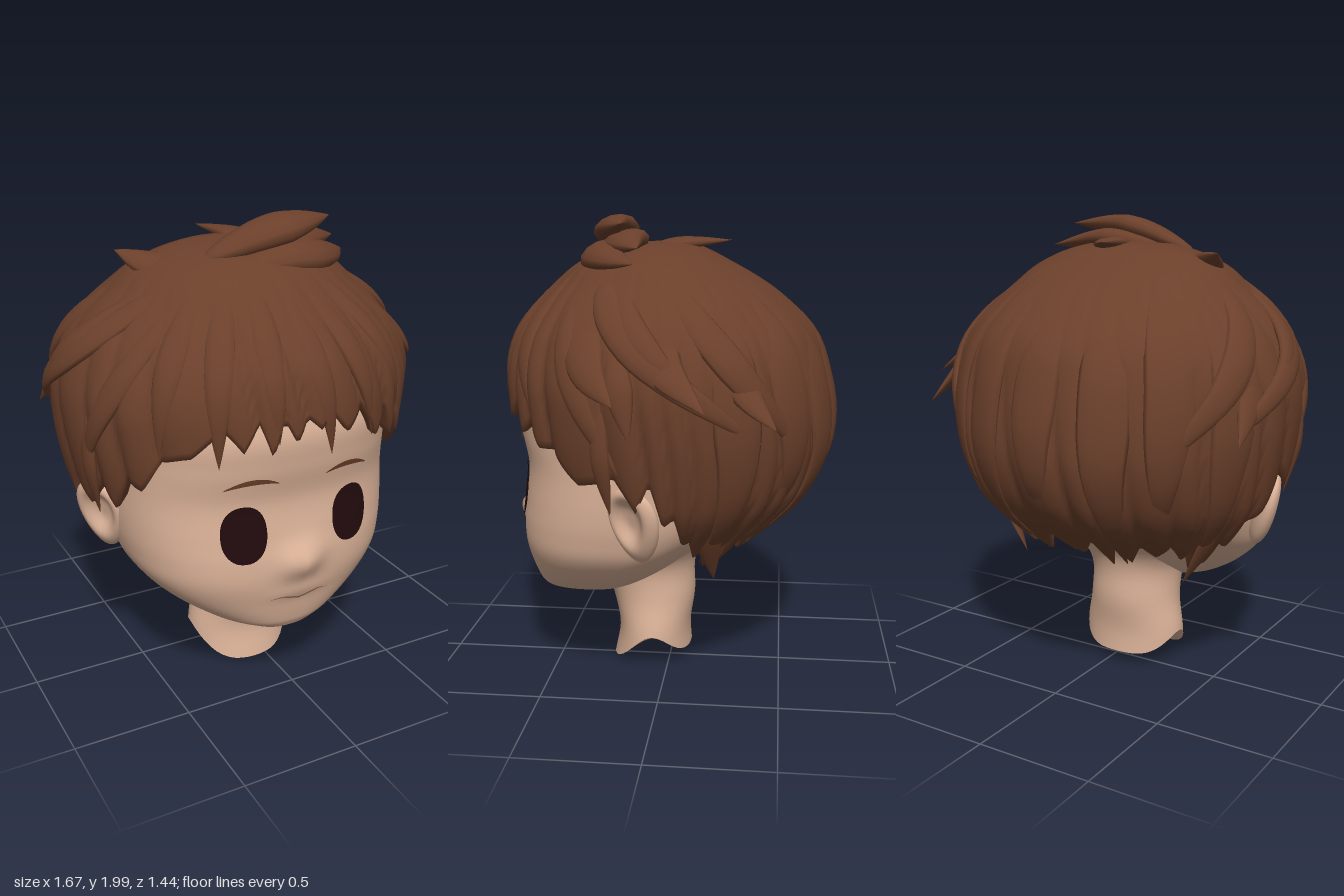
import * as THREE from 'three';

const CX = -0.055; // middle plane of the head
const TAU = Math.PI * 2;

const skin = new THREE.MeshStandardMaterial({ color: 0xdbb298 });
const hairBrown = new THREE.MeshStandardMaterial({ color: 0x6b402b, side: THREE.DoubleSide });
const eyeDark = new THREE.MeshStandardMaterial({ color: 0x220b0d, side: THREE.DoubleSide });
const mouthBrown = new THREE.MeshStandardMaterial({ color: 0x9a6e59, side: THREE.DoubleSide });
skin.name = 'skin'; hairBrown.name = 'hair brown'; eyeDark.name = 'eye dark'; mouthBrown.name = 'mouth brown';

// Smooth interpolation of table rows [key, ...values]
function sample(table, k) {
  const n = table.length;
  k = Math.min(Math.max(k, table[0][0]), table[n - 1][0]);
  let i = 0;
  while (i < n - 2 && k > table[i + 1][0]) i++;
  const a = table[i], b = table[i + 1], p = table[Math.max(i - 1, 0)], q = table[Math.min(i + 2, n - 1)];
  const h = b[0] - a[0], t = (k - a[0]) / h;
  return a.slice(1).map((va, j) => {
    const vb = b[j + 1];
    const ma = (vb - p[j + 1]) / (b[0] - p[0]) * h, mb = (q[j + 1] - va) / (q[0] - a[0]) * h;
    return (2 * t ** 3 - 3 * t * t + 1) * va + (t ** 3 - 2 * t * t + t) * ma
      + (3 * t * t - 2 * t ** 3) * vb + (t ** 3 - t * t) * mb;
  });
}

// Surface over a u,v grid; closed in u when wrap is set
function grid(nu, nv, fn, wrap = true) {
  const pos = [], idx = [], cols = wrap ? nu : nu + 1;
  for (let v = 0; v <= nv; v++) for (let u = 0; u < cols; u++) pos.push(...fn(u / nu, v / nv));
  for (let v = 0; v < nv; v++) for (let u = 0; u < nu; u++) {
    const a = v * cols + u, b = v * cols + (u + 1) % cols, c = b + cols, d = a + cols;
    idx.push(a, b, c, a, c, d);
  }
  const g = new THREE.BufferGeometry();
  g.setAttribute('position', new THREE.Float32BufferAttribute(pos, 3));
  g.setIndex(idx);
  g.computeVertexNormals();
  return g;
}

function add(parent, name, geometry, material) {
  const m = new THREE.Mesh(geometry, material);
  m.name = name;
  parent.add(m);
  return m;
}

// Head sections: y, half width, front z, z of widest point, back z
const HEAD = [
  [0.322, 0, 0.45, 0.42, 0.4], [0.33, 0.1, 0.54, 0.42, 0.3], [0.36, 0.21, 0.578, 0.36, 0.2],
  [0.4, 0.31, 0.595, 0.3, 0.1], [0.5, 0.46, 0.618, 0.22, -0.05], [0.6, 0.55, 0.638, 0.16, -0.18],
  [0.7, 0.585, 0.64, 0.12, -0.34], [0.8, 0.6, 0.628, 0.1, -0.46], [0.95, 0.605, 0.615, 0.08, -0.55],
  [1.1, 0.605, 0.645, 0.05, -0.6], [1.25, 0.6, 0.65, 0.03, -0.6], [1.45, 0.5, 0.54, 0, -0.5], [1.6, 0.3, 0.33, 0, -0.3],
];
const EXP = 2.5;
const bump = (x, y, cy, sx, sy, amp) => amp * Math.exp(-(((x - CX) / sx) ** 2) - ((y - cy) / sy) ** 2);
// Nose and lips
const relief = (x, y) => bump(x, y, 0.685, 0.085, 0.075, 0.053) + bump(x, y, 0.54, 0.12, 0.035, 0.009);

function faceZ(x, y) {
  const [w, zf, zc] = sample(HEAD, y);
  const k = Math.max(0, 1 - Math.abs((x - CX) / w) ** EXP);
  return zc + (zf - zc) * k ** (1 / EXP) + relief(x, y);
}

function headPoint(u, v) {
  const a = u * TAU, y = 0.322 + 1.278 * v ** 1.5;
  const [w, zf, zc, zb] = sample(HEAD, y), s = Math.sin(a), c = Math.cos(a);
  const e = 2 / (c > 0 ? EXP : 2.2);
  const x = CX + Math.max(0, w) * Math.sign(s) * Math.abs(s) ** e;
  const z = zc + Math.sign(c) * Math.abs(c) ** e * (c > 0 ? zf - zc : zc - zb);
  return [x, y, z + (c > 0 ? relief(x, y) : 0)];
}

// Neck sections: y, half width, front z, back z
const NECK = [[0, 0.235, 0.26, -0.1], [0.15, 0.235, 0.235, -0.09], [0.3, 0.207, 0.265, -0.11],
  [0.45, 0.215, 0.31, -0.11], [0.55, 0.27, 0.3, -0.15], [0.68, 0.38, 0.3, -0.3]];
function neckPoint(u, v) {
  const a = u * TAU, c = Math.cos(a), s = Math.sin(a);
  const low = 0.03 - 0.027 * c + 0.12 * s ** 4;
  const y = low + (0.68 - low) * v, [w, zf, zb] = sample(NECK, y);
  return [CX + w * s, y, (zf + zb) / 2 + c * (zf - zb) / 2];
}

// Hair sections: y, half width, front z, back z
const HAIR = [[0.45, 0.34, 0.3, -0.18], [0.6, 0.49, 0.4, -0.36], [0.8, 0.65, 0.55, -0.58], [0.9, 0.69, 0.6, -0.645],
  [1.05, 0.725, 0.67, -0.69], [1.2, 0.745, 0.69, -0.69], [1.35, 0.745, 0.69, -0.665], [1.5, 0.695, 0.65, -0.62],
  [1.6, 0.625, 0.585, -0.54], [1.7, 0.52, 0.5, -0.42], [1.8, 0.4, 0.38, -0.25], [1.87, 0.2, 0.2, -0.1], [1.885, 0, 0, 0]];
// Hem height by angle away from the front
const HEM = [[0, 1.29], [0.4, 1.28], [0.65, 1.2], [0.9, 1.07], [1.1, 1.0], [1.4, 0.96], [1.57, 0.94],
  [1.72, 0.78], [1.88, 0.66], [2.3, 0.65], [3.15, 0.68]];

function hairPoint(a, y, lift = 0, scale = 1) {
  const [w, zf, zb] = sample(HAIR, y), s = Math.sin(a), c = Math.cos(a);
  return [CX + s * (Math.max(0, w) * scale + lift), y, c * ((c > 0 ? zf : -zb) * scale + lift)];
}
// Position across one strand, 0 to 1, and which strand it is
function strand(a) {
  const p = 31 * a / TAU + 0.5 * Math.sin(3 * a) + 0.25 * Math.sin(7 * a + 1);
  return [p - Math.floor(p), Math.floor(p)];
}
function hairCap(u, v) {
  const a = Math.PI - u * TAU, [f, id] = strand(a);
  const tip = 0.05 + 0.09 * Math.abs(Math.sin(id * 2.4)) ** 2;
  const hem = sample(HEM, Math.abs(a))[0] - tip * (1 - Math.abs(2 * f - 1)) + 0.015;
  const t = Math.min(1, v / 0.94), y = 1.885 - (1.885 - hem) * t ** 1.7;
  const [g] = strand(a + 0.25 * (1 - t));
  const lift = (0.03 * Math.sqrt(Math.sin(Math.PI * g)) - 0.008) * Math.min(1, t * t * 1.6);
  // the last rows fold inside to give the hem thickness
  const fold = Math.max(0, (v - 0.94) / 0.06);
  return hairPoint(a, y + fold * 0.07, lift * (1 - fold), 1 - 0.11 * fold);
}

// Tapered, flattened lock along a path
function lock(parent, name, points, width, thick) {
  const curve = new THREE.CatmullRomCurve3(points.map((p) => new THREE.Vector3(...p)));
  const centre = new THREE.Vector3(CX, 1.1, 0);
  const geometry = grid(12, 20, (u, v) => {
    const p = curve.getPoint(v), t = curve.getTangent(v);
    const n = p.clone().sub(centre);
    n.addScaledVector(t, -n.dot(t)).normalize();
    const side = n.clone().cross(t), r = Math.sqrt(Math.min(1, v * 1.8)) * (1 - v ** 2.6);
    p.addScaledVector(side, Math.cos(u * TAU) * width * r).addScaledVector(n, Math.sin(u * TAU) * thick * r);
    return p.toArray();
  });
  return add(parent, name, geometry, hairBrown);
}
// Lock that rises out of the cap at angle a0, height y0 and ends at angle a1, height y1
function lyingLock(parent, name, a0, y0, a1, y1, width, lift) {
  const path = [0, 0.17, 0.33, 0.5, 0.67, 0.83, 1].map((t) =>
    hairPoint(a0 + (a1 - a0) * t ** 1.4, y0 + (y1 - y0) * t ** 1.25, (lift + 0.035) * Math.min(1, t * 1.6) - 0.035));
  return lock(parent, name, path, width, 0.032);
}

// Thin curved stroke on the face; path gives y for s in -1..1
function stroke(parent, name, x0, x1, path, half, material) {
  add(parent, name, grid(24, 2, (u, v) => {
    const s = 2 * u - 1, x = x0 + (x1 - x0) * u;
    const y = path(s) + (2 * v - 1) * half * (1 - s * s * 0.9);
    return [x, y, faceZ(x, y) + 0.007];
  }, false), material);
}

export function createModel() {
  const model = new THREE.Group();
  model.name = 'boyHead';

  add(model, 'face', grid(112, 76, headPoint), skin);
  add(model, 'neck', grid(48, 20, neckPoint), skin);
  add(model, 'neckBase', grid(48, 6, (u, v) => {
    const p = neckPoint(u, 0);
    return [CX + (p[0] - CX) * v, 0.085 + (p[1] - 0.085) * v * v, 0.07 + (p[2] - 0.07) * v];
  }), skin);

  for (const s of [-1, 1]) {
    const side = s > 0 ? 'left' : 'right', ex = CX + s * 0.242;
    // Eyes and brows follow the face surface
    add(model, side + 'Eye', grid(40, 8, (u, v) => {
      const c = Math.cos(u * TAU), d = Math.sin(u * TAU), r = 1 - v;
      const x = ex + 0.092 * r * Math.sign(c) * Math.abs(c) ** 0.9;
      const y = 0.832 + 0.12 * r * Math.sign(d) * Math.abs(d) ** 0.9;
      return [x, y, faceZ(x, y) + 0.008];
    }), eyeDark);
    stroke(model, side + 'Brow', CX + s * 0.215 - 0.11, CX + s * 0.215 + 0.11,
      (t) => 1.06 - 0.025 * t * t - s * 0.006 * t, 0.012, hairBrown);

    // Ear with a hollow in its outer side
    const ear = new THREE.SphereGeometry(1, 36, 28), p = ear.attributes.position;
    for (let i = 0; i < p.count; i++) {
      const x = p.getX(i), y = p.getY(i), z = p.getZ(i);
      const dent = x * s > 0 ? 0.055 * Math.exp(-((Math.hypot(y - 0.15, z - 0.1) / 0.55) ** 4)) : 0;
      p.setXYZ(i, x * 0.05 - s * dent, y * 0.165, z * 0.115 * (1 + 0.25 * y));
    }
    ear.computeVertexNormals();
    const earMesh = add(model, side + 'Ear', ear, skin);
    earMesh.position.set(CX + s * 0.63, 0.79, 0.08);
    earMesh.rotation.set(0, -s * 0.5, -s * 0.27);
  }
  stroke(model, 'mouth', -0.19, 0.08, (t) => 0.508 + 0.022 * Math.min(1, Math.abs(t) * 1.6) - 0.012 * t ** 4, 0.005, mouthBrown);

  // Hair
  const hair = new THREE.Group();
  hair.name = 'hair';
  model.add(hair);
  add(hair, 'hairCap', grid(310, 44, hairCap), hairBrown);

  // Broad locks down the back and over the fringe
  for (let i = 0; i < 7; i++) {
    const a = 2.05 + i * 0.364;
    lyingLock(hair, 'backLock', a, 1.74, a + 0.05 * Math.sin(i * 2), i % 2 ? 0.74 : 0.57, 0.13, 0.014);
  }
  for (let i = 0; i < 6; i++) {
    const a = -0.8 + i * 0.31;
    lyingLock(hair, 'fringeLock', a * 0.8 - 0.1, 1.8, a, 1.17 - 0.05 * Math.sin(i * 2.3), 0.075, 0.008);
  }
  // Side locks sweeping backwards, then short ones beside the face and nape
  for (const s of [-1, 1]) {
    lyingLock(hair, 'sweptLock', s * 1.0, 1.78, s * 2.2, 1.12, 0.085, 0.03);
    lyingLock(hair, 'sweptLock', s * 1.25, 1.72, s * 1.85, 1.3, 0.07, 0.03);
    lyingLock(hair, 'sweptLock', s * 1.7, 1.76, s * 2.5, 1.05, 0.09, 0.02);
    lyingLock(hair, 'sweptLock', s * 0.85, 1.74, s * 1.4, 0.98, 0.075, 0.012);
    lock(hair, 'sideburn', [[CX + s * 0.7, 1.35, 0.2], [CX + s * 0.715, 1.08, 0.2], [CX + s * 0.67, 0.84, 0.17]], 0.05, 0.025);
    lock(hair, 'napeLock', [[CX + s * 0.6, 1.0, -0.2], [CX + s * 0.56, 0.8, -0.2], [CX + s * 0.4, 0.5, -0.22]], 0.09, 0.03);
  }

  // Flicked-out locks at the sides
  lock(hair, 'leftFlick', [[0.25, 1.76, 0.02], [0.47, 1.61, 0.02], [0.66, 1.45, -0.03], [0.83, 1.29, -0.21]], 0.13, 0.045);
  lock(hair, 'leftFlick', [[0.32, 1.69, 0.26], [0.5, 1.55, 0.28], [0.66, 1.41, 0.24], [0.79, 1.3, 0.13]], 0.11, 0.04);
  lock(hair, 'leftFlick', [[0.36, 1.62, -0.25], [0.53, 1.45, -0.3], [0.6, 1.33, -0.35], [0.66, 1.2, -0.47]], 0.1, 0.04);
  lock(hair, 'leftFlick', [[0.62, 1.5, 0.15], [0.69, 1.35, 0.12], [0.73, 1.16, 0.08]], 0.07, 0.03);
  lock(hair, 'rightFlick', [[-0.55, 1.6, -0.1], [-0.69, 1.44, -0.18], [-0.75, 1.3, -0.26], [-0.78, 1.15, -0.4]], 0.1, 0.04);

  // Crown spikes and swept tuft
  lock(hair, 'crownSpike', [[-0.15, 1.79, 0.14], [-0.38, 1.79, 0.06], [-0.52, 1.845, -0.09]], 0.1, 0.05);
  lock(hair, 'crownSpike', [[0.02, 1.83, 0.14], [0, 1.87, -0.03], [-0.08, 1.885, -0.26]], 0.1, 0.035);
  lock(hair, 'tuftTop', [[-0.27, 1.83, 0.2], [-0.04, 1.91, 0.22], [0.13, 1.945, 0.22], [0.33, 1.955, 0.16]], 0.12, 0.068);
  lock(hair, 'tuftMiddle', [[-0.2, 1.82, 0.18], [0.04, 1.87, 0.18], [0.2, 1.88, 0.16], [0.39, 1.86, 0.09]], 0.13, 0.065);
  lock(hair, 'tuftLow', [[-0.18, 1.79, 0.27], [0.05, 1.83, 0.28], [0.24, 1.82, 0.24], [0.43, 1.8, 0.1]], 0.12, 0.07);
  return model;
}
